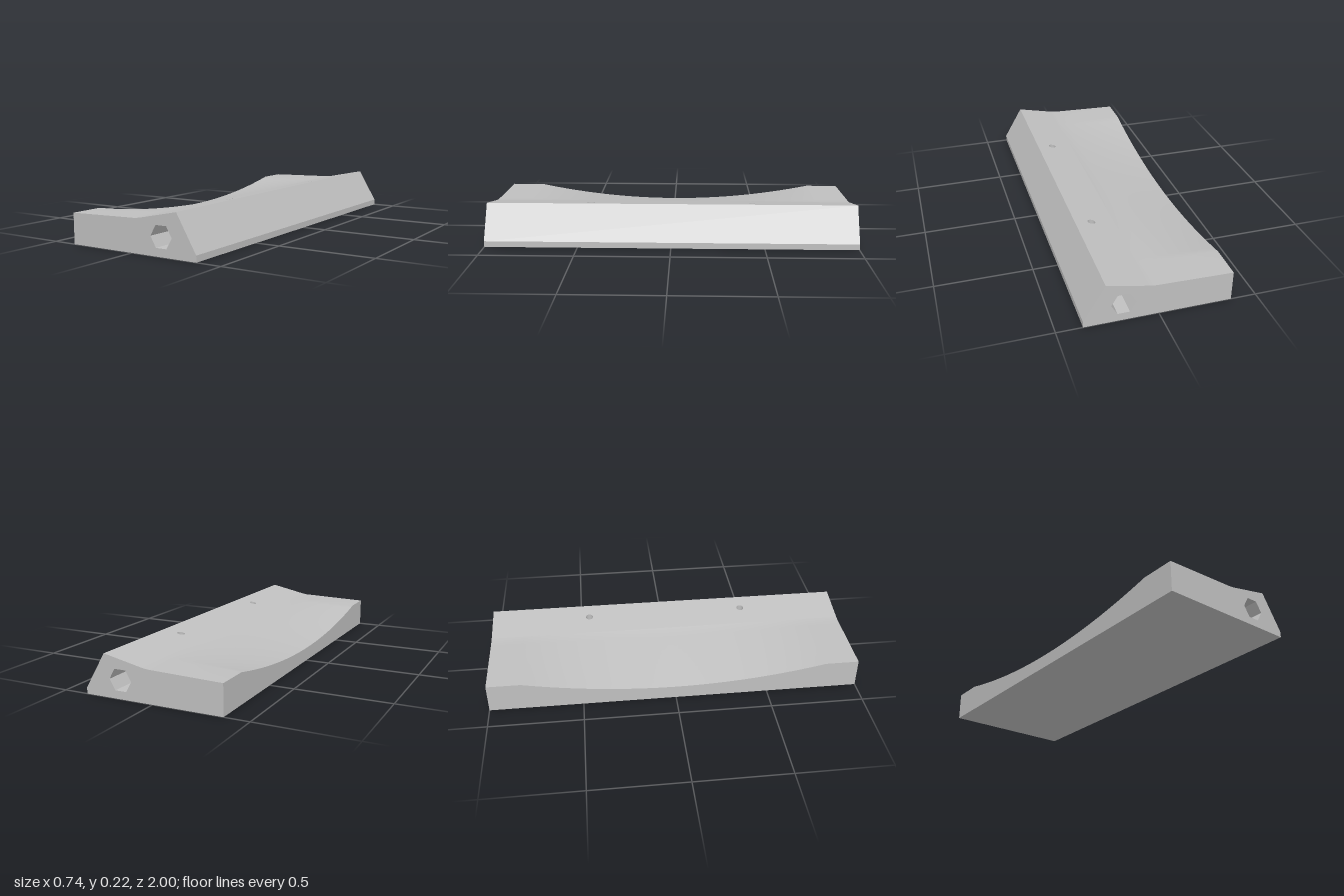
import * as THREE from 'three';

const LEFT = -0.37, RIGHT = 0.37, RIDGE = 0.262, BEND = 0.05, END = 1;
const RIDGE_Y = 0.215, BEND_Y = 0.171, LIP_Y = 0.032;
const SCOOP_Z = 0.82, SCOOP_DEPTH = 0.085;
const HEX = { x: 0.174, y: 0.0935, r: 0.061 };
const HOLE = { x: 0.172, z: 0.445, r: 0.02 };
const { lerp, mapLinear } = THREE.MathUtils;

// Height of the upper surface: shallow slope, bend, steeper slope, minus the scoop
function topY(x, z) {
  if (x >= BEND) return mapLinear(x, BEND, RIDGE, BEND_Y, RIDGE_Y);
  const base = x < 0.02 ? mapLinear(x, LEFT, 0.02, 0.157, 0.167) : mapLinear(x, 0.02, BEND, 0.167, BEND_Y);
  const across = (BEND - x) / (BEND - LEFT);
  const along = Math.max(0, 1 - (z / SCOOP_Z) ** 2);
  return base - SCOOP_DEPTH * across * along;
}

// Grid surface from a rule (u, v) -> [x, y, z]
function sheet(rule, us, vs) {
  const pos = [], index = [], n = vs.length;
  us.forEach(u => vs.forEach(v => pos.push(...rule(u, v))));
  for (let i = 0; i < us.length - 1; i++) {
    for (let j = 0; j < n - 1; j++) {
      const a = i * n + j, b = a + 1, c = a + n, d = c + 1;
      index.push(a, b, d, a, d, c);
    }
  }
  const g = new THREE.BufferGeometry();
  g.setAttribute('position', new THREE.Float32BufferAttribute(pos, 3));
  g.setIndex(index);
  g.computeVertexNormals();
  return g;
}

// Flat strip running the whole length between two section points
const strip = (p, q) => sheet((u, z) => [lerp(p[0], q[0], u), lerp(p[1], q[1], u), z], [0, 1], [-END, END]);

// Lengthwise panel pierced by the two small round holes
function piercedPanel(x0, x1, height, faceDown) {
  const shape = new THREE.Shape([[x0, -END], [x1, -END], [x1, END], [x0, END]].map(p => new THREE.Vector2(...p)));
  for (const s of [-1, 1]) {
    shape.holes.push(new THREE.Path().absarc(HOLE.x, s * HOLE.z, HOLE.r, 0, Math.PI * 2, true));
  }
  const g = new THREE.ShapeGeometry(shape, 12);
  const p = g.attributes.position;
  for (let i = 0; i < p.count; i++) p.setXYZ(i, p.getX(i), height(p.getX(i)), -p.getY(i));
  if (faceDown) g.index.array.reverse();
  g.computeVertexNormals();
  return g;
}

export function createModel() {
  const group = new THREE.Group();
  const grey = new THREE.MeshStandardMaterial({ color: 0xbfbfbf, side: THREE.DoubleSide });
  grey.name = 'grey';
  const add = (name, geometry) => {
    const mesh = new THREE.Mesh(geometry, grey);
    mesh.name = name;
    group.add(mesh);
  };

  // Scooped upper surface and the side wall under its edge
  const zs = [-END];
  for (let i = 0; i <= 36; i++) zs.push(lerp(-SCOOP_Z, SCOOP_Z, i / 36));
  zs.push(END);
  const xs = [];
  for (let i = 0; i <= 12; i++) xs.push(lerp(LEFT, 0.02, i / 12));
  xs.push(BEND);
  add('scoopedTop', sheet((x, z) => [x, topY(x, z), z], xs, zs));
  add('scoopedSide', sheet((u, z) => [LEFT, u * topY(LEFT, z), z], [0, 1], zs));

  // Raised slope, bevelled side, lip and underside
  add('raisedTop', piercedPanel(BEND, RIDGE, x => topY(x, 0), false));
  add('bevelledSide', strip([RIDGE, RIDGE_Y], [RIGHT, LIP_Y]));
  add('lowerLip', strip([RIGHT, LIP_Y], [RIGHT, 0]));
  add('underside', strip([RIGHT, 0], [LEFT, 0]));

  // Hexagonal tunnel; its ceiling is pierced
  const hex = [0, 1, 2, 3, 4, 5].map(i => {
    const a = i * Math.PI / 3;
    return [HEX.x + HEX.r * Math.cos(a), HEX.y + HEX.r * Math.sin(a)];
  });
  const ceilingY = hex[1][1];
  hex.forEach((p, i) => {
    if (i === 1) add('tunnelCeiling', piercedPanel(hex[2][0], p[0], () => ceilingY, true));
    else add('tunnelWall', strip(p, hex[(i + 1) % 6]));
  });

  // Round holes from the raised slope down into the tunnel
  const angles = Array.from({ length: 25 }, (_, i) => i * Math.PI / 12);
  for (const s of [-1, 1]) {
    add('roundHole', sheet((a, t) => {
      const x = HOLE.x + HOLE.r * Math.cos(a);
      return [x, lerp(ceilingY, topY(x, 0), t), s * HOLE.z + HOLE.r * Math.sin(a)];
    }, angles, [0, 1]));
  }

  // End faces with the hexagonal opening
  const outline = [[LEFT, 0], [RIGHT, 0], [RIGHT, LIP_Y], [RIDGE, RIDGE_Y], [BEND, BEND_Y], [0.02, 0.167], [LEFT, 0.157]];
  for (const s of [1, -1]) {
    const points = list => list.map(([x, y]) => new THREE.Vector2(s * x, y));
    const shape = new THREE.Shape(points(outline));
    shape.holes.push(new THREE.Path(points(hex)));
    const g = new THREE.ShapeGeometry(shape);
    g.translate(0, 0, END);
    if (s < 0) g.rotateY(Math.PI);
    add(s > 0 ? 'frontEnd' : 'backEnd', g);
  }
  return group;
}
